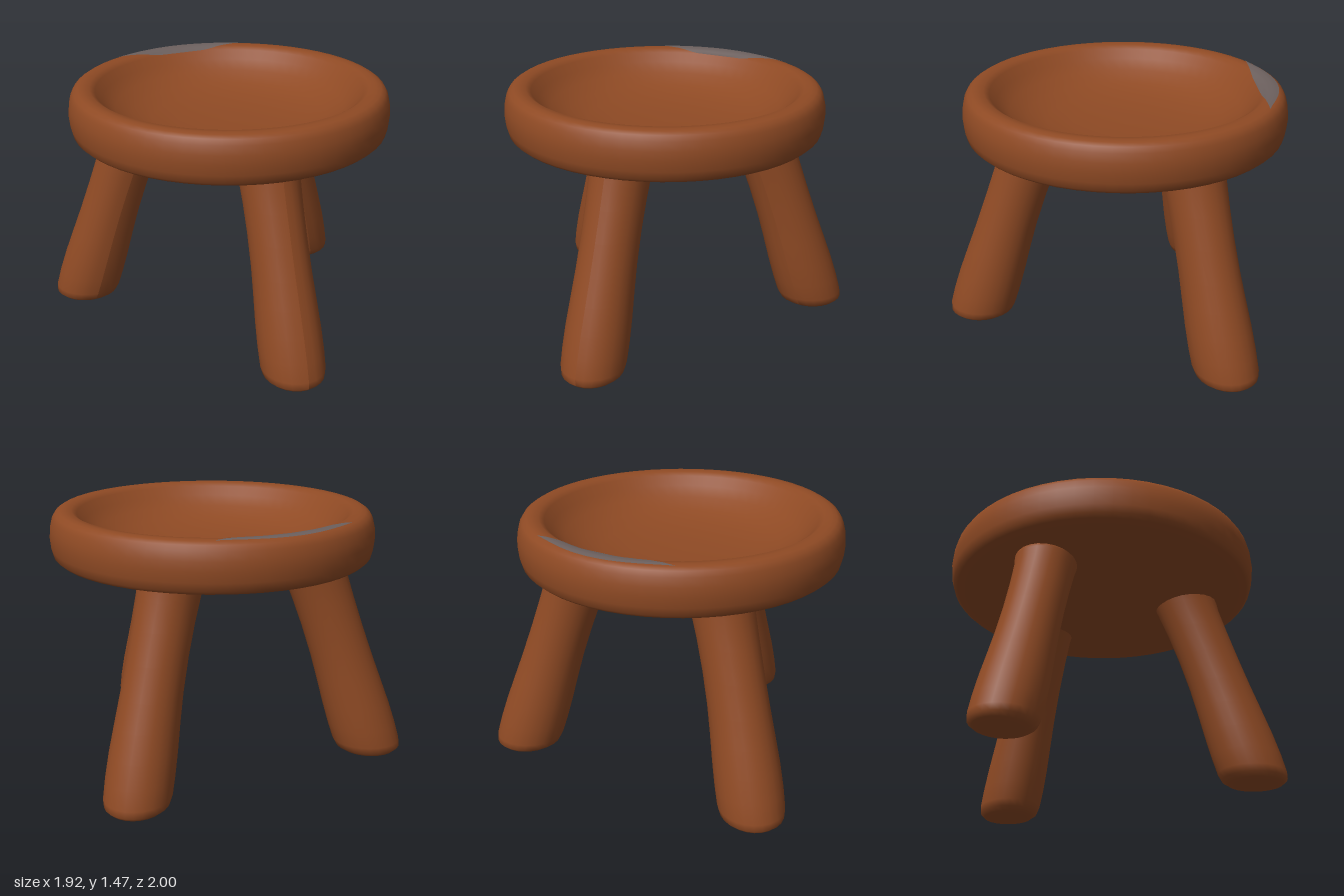
import * as THREE from 'three';

const SEAT_Z = -0.075;

// Seat profile [radius, height]: underside, outer rim, then dished top
const UNDERSIDE = [[0, 1.115], [0.38, 1.117], [0.62, 1.148], [0.82, 1.182], [0.885, 1.195],
  [0.908, 1.215], [0.92, 1.26], [0.926, 1.32], [0.922, 1.37], [0.91, 1.42], [0.893, 1.448]];
const TOP = [[0.87, 1.463], [0.84, 1.468], [0.8, 1.464], [0.77, 1.445], [0.73, 1.395], [0.66, 1.338],
  [0.56, 1.288], [0.45, 1.255], [0.3, 1.234], [0.15, 1.227], [0, 1.225]];

// Height of the dished top at a given radius
function topHeight(r) {
  for (let i = 1; i < TOP.length; i++) {
    const [r0, y0] = TOP[i - 1], [r1, y1] = TOP[i];
    if (r >= r1) return y0 + (y1 - y0) * (r0 - r) / (r0 - r1);
  }
  return TOP[TOP.length - 1][1];
}

const lathe = (points, segments) =>
  new THREE.LatheGeometry(points.map(([r, y]) => new THREE.Vector2(r, y)), segments);

// Leg: round post with a soft foot, sheared along a gentle curve and
// slightly widened in the direction it splays
function legGeometry(foot, mid, top) {
  const geometry = lathe([[0, 0], [0.1, 0], [0.145, 0.008], [0.172, 0.03], [0.181, 0.07],
    [0.183, 0.17], [0.18, 0.3], [0.172, 0.45], [0.165, 0.6], [0.162, 0.78], [0.164, 0.95],
    [0.17, 1.1], [0.178, 1.15], [0.178, 1.175], [0, 1.18]], 24);
  const a = new THREE.Vector2(...foot), b = new THREE.Vector2(...mid), c = new THREE.Vector2(...top);
  const curve = new THREE.QuadraticBezierCurve(a, b, c);
  const splay = a.clone().sub(c).normalize();
  const p = geometry.attributes.position;
  for (let i = 0; i < p.count; i++) {
    const offset = new THREE.Vector2(p.getX(i), p.getZ(i));
    offset.addScaledVector(splay, 0.1 * offset.dot(splay));
    offset.add(curve.getPoint(p.getY(i) / 1.2));
    p.setXYZ(i, offset.x, p.getY(i), offset.y);
  }
  geometry.computeVertexNormals();
  return geometry;
}

// Thin worn patch on the back of the rim, cut by a straight front edge
function patchGeometry() {
  const geometry = new THREE.PlaneGeometry(0.86, 1, 24, 8);
  const p = geometry.attributes.position;
  for (let i = 0; i < p.count; i++) {
    const x = p.getX(i), v = p.getY(i) + 0.5;
    const front = -0.83 - SEAT_Z;
    const back = front - 0.115 * Math.pow(Math.max(0, 1 - (x / 0.43) ** 2), 1.2);
    const z = front + (back - front) * v;
    p.setXYZ(i, x, Math.max(1.445, topHeight(Math.hypot(x, z))) + 0.003, z);
  }
  geometry.computeVertexNormals();
  return geometry;
}

export function createModel() {
  const wood = new THREE.MeshStandardMaterial({ color: 0x8f4a24 });
  wood.name = 'brown wood';
  const worn = new THREE.MeshStandardMaterial({ color: 0x6c605e, side: THREE.DoubleSide });
  worn.name = 'worn grey';

  const stool = new THREE.Group();
  stool.name = 'stool';
  const add = (name, geometry, material, z = 0) => {
    const mesh = new THREE.Mesh(geometry, material);
    mesh.name = name;
    mesh.position.z = z;
    stool.add(mesh);
  };

  // Seat
  add('seat', lathe([...UNDERSIDE, ...TOP], 56), wood, SEAT_Z);
  add('rimPatch', patchGeometry(), worn, SEAT_Z);

  // Three splayed legs
  add('frontLeg', legGeometry([0, 0.818], [0, 0.65], [0, 0.42]), wood);
  for (const [side, name] of [[1, 'backLeftLeg'], [-1, 'backRightLeg']]) {
    add(name, legGeometry([side * 0.782, -0.62], [side * 0.64, -0.51], [side * 0.44, -0.415]), wood);
  }
  return stool;
}
